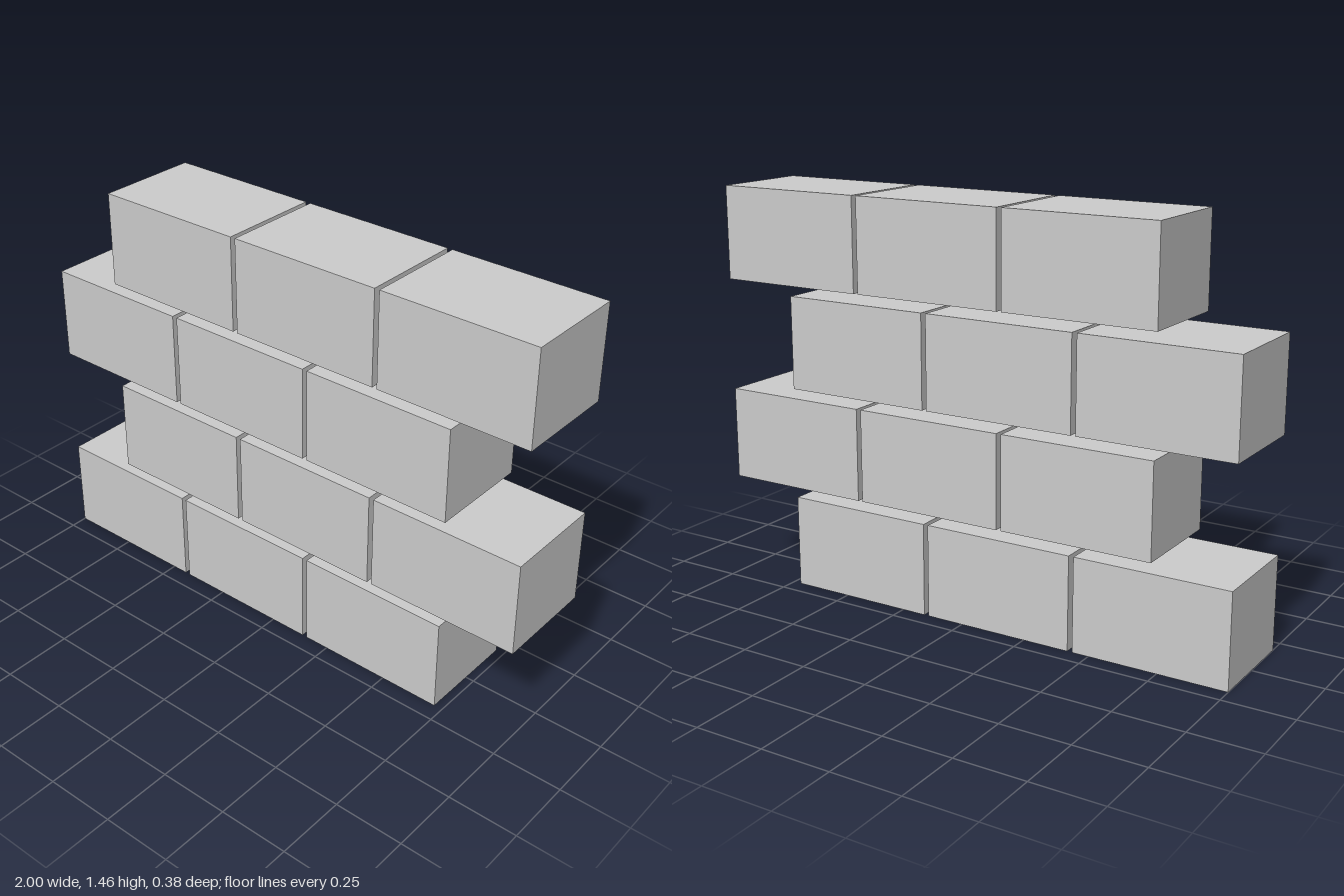
import * as THREE from 'three';

// Running-bond block wall: four courses of three blocks
export function createModel() {
  const wall = new THREE.Group();
  wall.name = 'blockWall';

  const width = 0.561, height = 0.339, depth = 0.375;
  const pitchX = 0.579, pitchY = 0.375, shift = 0.281;
  const material = new THREE.MeshStandardMaterial({ color: 0xcccccc, flatShading: true });
  const geometry = new THREE.BoxGeometry(width, height, depth);

  for (let row = 0; row < 4; row++) {
    const course = new THREE.Group();
    course.name = `course${row + 1}`;
    // Every second course is shifted by half a block
    course.position.set((row % 2 ? 0.5 : -0.5) * shift, row * pitchY + height / 2, 0);
    for (let i = 0; i < 3; i++) {
      const block = new THREE.Mesh(geometry, material);
      block.name = `block${i + 1}`;
      block.position.x = (i - 1) * pitchX;
      course.add(block);
    }
    wall.add(course);
  }
  return wall;
}
